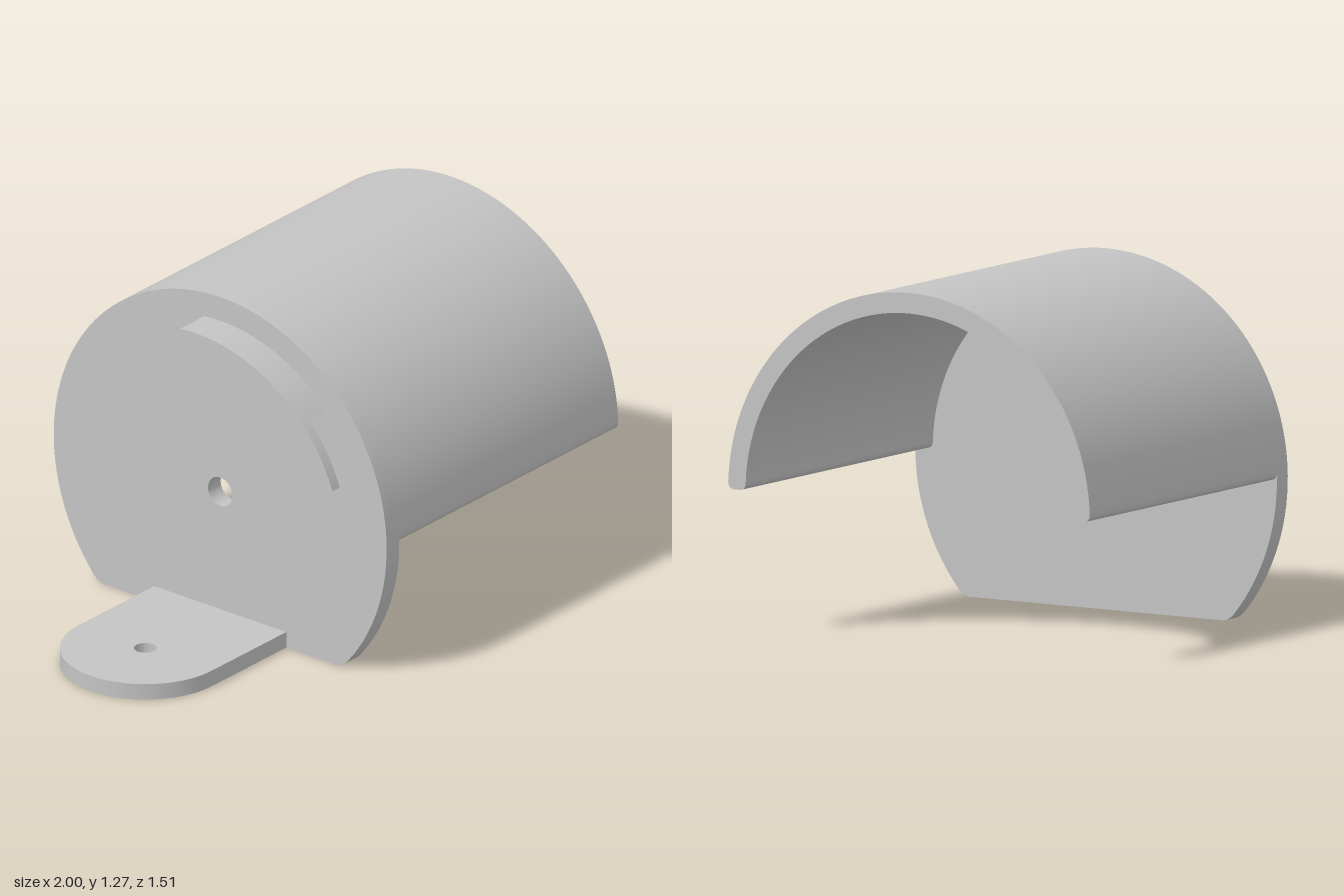
import * as THREE from 'three';
import { toCreasedNormals } from 'three/addons/utils/BufferGeometryUtils.js';

const AXIS_Y = 0.515; // height of the cylinder axis
const R = 0.755; // outer radius
const R_IN = 0.682; // inner radius of the cover

export function createModel() {
  const group = new THREE.Group();
  group.name = 'coverBracket';
  const grey = new THREE.MeshStandardMaterial({ color: 0xc4c4c4 });
  grey.name = 'plain grey';

  const extrude = (shape, depth) =>
    new THREE.ExtrudeGeometry(shape, { depth, bevelEnabled: false, curveSegments: 48 });

  const add = (name, geometry) => {
    const mesh = new THREE.Mesh(toCreasedNormals(geometry, 0.5), grey);
    mesh.name = name;
    group.add(mesh);
  };

  // Profile drawn in (-z, y), extruded along x from x0 to x1
  const addAlongX = (name, shape, x0, x1) =>
    add(name, extrude(shape, x1 - x0).rotateY(Math.PI / 2).translate(x0, 0, 0));

  const hole = (x, y, r) => new THREE.Path().absarc(x, y, r, 0, Math.PI * 2, true);

  // End plate: disc cut flat at the base, with softened corners and a centre hole
  const low = 0.698;
  const plate = new THREE.Shape();
  plate.moveTo(-0.525, 0);
  plate.lineTo(0.525, 0);
  plate.quadraticCurveTo(0.552, 0, R * Math.cos(low), AXIS_Y - R * Math.sin(low));
  plate.absarc(0, AXIS_Y, R, -low, Math.PI + low, false);
  plate.quadraticCurveTo(-0.552, 0, -0.525, 0);
  plate.holes.push(hole(0, AXIS_Y, 0.055));
  addAlongX('endPlate', plate, -0.285, -0.215);

  // Half-round cover with rounded lower edges
  const f = 0.028;
  const a = f / R, b = f / R_IN;
  const cover = new THREE.Shape();
  cover.moveTo(R - f, AXIS_Y);
  cover.quadraticCurveTo(R, AXIS_Y, R * Math.cos(a), AXIS_Y + f);
  cover.absarc(0, AXIS_Y, R, a, Math.PI - a, false);
  cover.quadraticCurveTo(-R, AXIS_Y, -R + f, AXIS_Y);
  cover.lineTo(-R_IN - f, AXIS_Y);
  cover.quadraticCurveTo(-R_IN, AXIS_Y, -R_IN * Math.cos(b), AXIS_Y + f);
  cover.absarc(0, AXIS_Y, R_IN, Math.PI - b, b, true);
  cover.quadraticCurveTo(R_IN, AXIS_Y, R_IN + f, AXIS_Y);
  cover.closePath();
  addAlongX('halfRoundCover', cover, -0.215, 1);

  // Foot tab with a rounded end and a screw hole
  const tab = new THREE.Shape();
  tab.moveTo(-0.285, 0.3);
  tab.lineTo(-0.7, 0.3);
  tab.absarc(-0.7, 0, 0.3, Math.PI / 2, Math.PI * 1.5, false);
  tab.lineTo(-0.285, -0.3);
  tab.closePath();
  tab.holes.push(hole(-0.7, 0, 0.04));
  add('footTab', extrude(tab, 0.06).rotateX(-Math.PI / 2));

  // Hook outline: arc on top, slanted side, level bottom at the given height above the axis
  const hookShape = (bottom, round) => {
    const r = 0.663;
    const start = Math.PI - Math.asin(bottom / r);
    const end = Math.acos(0.073 / r);
    const slantX = (y) => 0.073 - (0.66 - y) * 0.345;
    const s = new THREE.Shape();
    s.absarc(0, AXIS_Y, r, end, start, false);
    s.lineTo(slantX(bottom) - round, AXIS_Y + bottom);
    s.quadraticCurveTo(slantX(bottom), AXIS_Y + bottom,
      slantX(bottom + round), AXIS_Y + bottom + round);
    s.closePath();
    return s;
  };
  addAlongX('hookStem', hookShape(0.455, 0.05), -0.38, -0.285);
  addAlongX('hookLip', hookShape(0.235, 0.002), -0.42, -0.38);

  return group;
}
